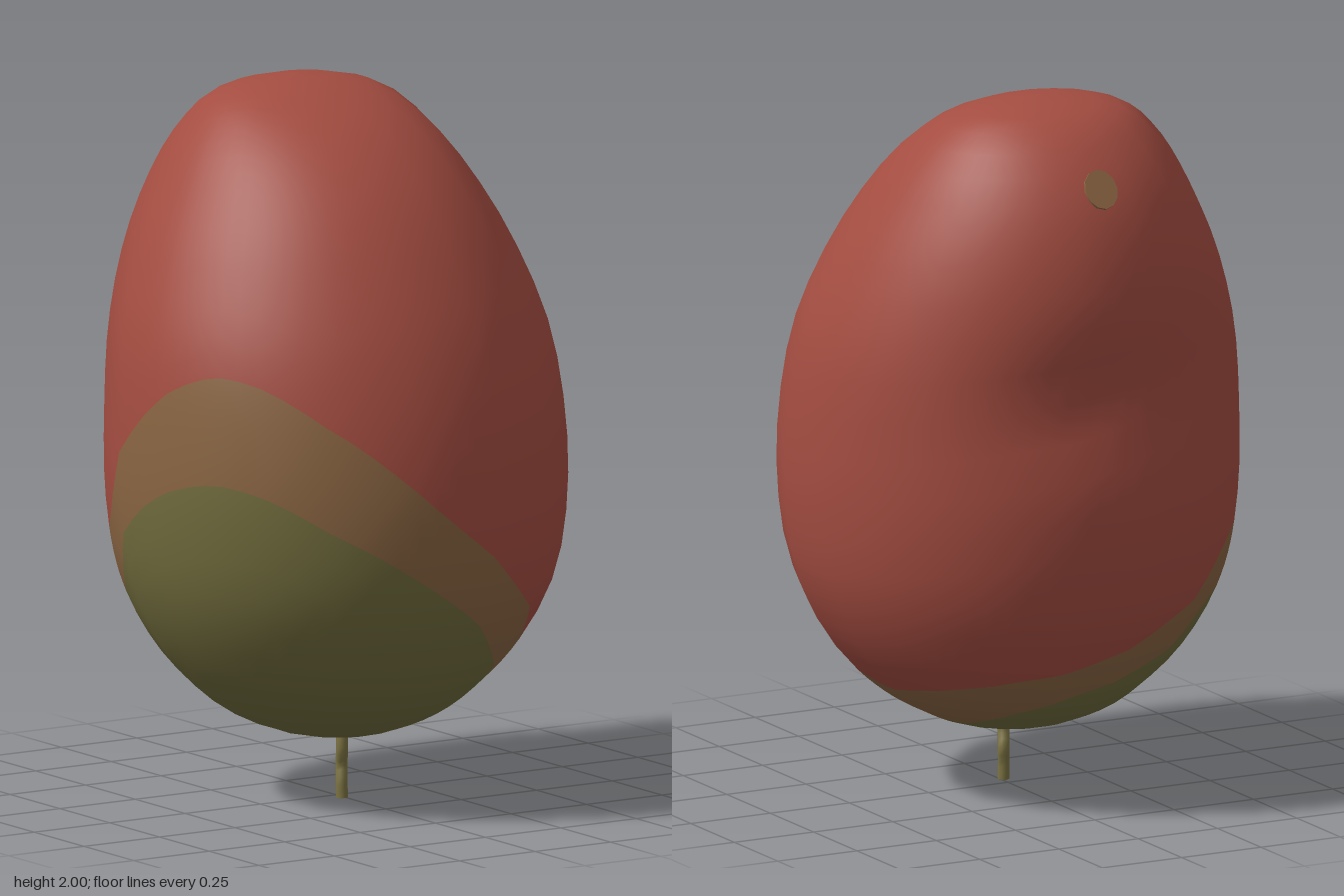
import * as THREE from 'three';

const SIDES = 16, SPLIT = 4, COLS = SIDES * SPLIT;
const BOTTOM = 0.17, HEIGHT = 1.83, STEP = (Math.PI * 2) / SIDES;

const mat = (name, color) => {
  const m = new THREE.MeshStandardMaterial({ color });
  m.name = name;
  return m;
};

// Body outline from base to crown: half width, front z, back z
const outline = new THREE.CatmullRomCurve3([
  [0, 0, 0], [0.19, 0.19, -0.2], [0.36, 0.36, -0.37], [0.5, 0.49, -0.49],
  [0.595, 0.585, -0.575], [0.632, 0.617, -0.612], [0.633, 0.6, -0.615],
  [0.607, 0.54, -0.615], [0.535, 0.44, -0.608], [0.44, 0.315, -0.565],
  [0.34, 0.16, -0.48], [0.22, -0.02, -0.365], [0, -0.19, -0.19],
].map(p => new THREE.Vector3(...p)), false, 'catmullrom', 0.5);

const heightToT = y => Math.acos(1 - 2 * (y - BOTTOM) / HEIGHT) / Math.PI;

// Smooth skin point; angle runs from the front (+z) towards +x
function skin(a, t) {
  const y = BOTTOM + HEIGHT * (1 - Math.cos(Math.PI * t)) / 2;
  const { x: w, y: front, z: back } = outline.getPoint(t);
  const k = 1 / Math.cos(STEP / 2);
  const dent = 0.04 * Math.exp(-(((y - 1.2) / 0.15) ** 2)) * Math.max(0, -Math.cos(a)) ** 6;
  return new THREE.Vector3(
    w * k * Math.sin(a), y,
    (front + back) / 2 + (front - back) / 2 * k * Math.cos(a) + dent);
}

function skinNormal(a, t) {
  const s = THREE.MathUtils.clamp(t, 0.015, 0.985), e = 0.01;
  const da = skin(a + e, s).sub(skin(a - e, s));
  const dt = skin(a, s + e).sub(skin(a, s - e));
  return da.cross(dt).normalize();
}

// Point on the sixteen-sided body, between two corner lines
function facetPoint(col, t) {
  const side = Math.floor(col / SPLIT), f = (col % SPLIT) / SPLIT;
  const a = (side + 0.5) * STEP;
  return skin(a, t).lerp(skin(a + STEP, t), f);
}

// Closed wavy border height around the body, one value every 30 degrees
function border(heights) {
  const curve = new THREE.CatmullRomCurve3(
    heights.map(h => new THREE.Vector3(0, h, 0)), true, 'catmullrom', 0.5);
  return a => heightToT(curve.getPoint((a / (Math.PI * 2)) % 1).y);
}

// Band of skin between two borders
function skinBand(lower, upper, rows) {
  const pos = [], nor = [], idx = [];
  for (let j = 0; j <= rows; j++) {
    for (let i = 0; i <= COLS; i++) {
      const a = (i / SPLIT + 0.5) * STEP;
      const t = THREE.MathUtils.lerp(lower(a), upper(a), j / rows);
      pos.push(...facetPoint(i, t).toArray());
      nor.push(...skinNormal(a, t).toArray());
      if (i < COLS && j < rows) {
        const p = j * (COLS + 1) + i, q = p + COLS + 1;
        idx.push(p, p + 1, q + 1, p, q + 1, q);
      }
    }
  }
  const g = new THREE.BufferGeometry();
  g.setAttribute('position', new THREE.Float32BufferAttribute(pos, 3));
  g.setAttribute('normal', new THREE.Float32BufferAttribute(nor, 3));
  g.setIndex(idx);
  return g;
}

export function createModel() {
  const model = new THREE.Group();
  model.name = 'fruit';
  const red = mat('ripe red', 0xa44d41);
  const brown = mat('blush brown', 0x8a6542);
  const olive = mat('olive green', 0x716c3d);
  const stemColor = mat('stem', 0x7d7343);

  const add = (name, geometry, material) => {
    const mesh = new THREE.Mesh(geometry, material);
    mesh.name = name;
    model.add(mesh);
    return mesh;
  };

  // Skin in three colour bands
  const base = () => 0, crown = () => 1;
  const oliveEdge = border([0.63, 0.42, 0.27, 0.23, 0.22, 0.27, 0.34, 0.42, 0.6, 0.88, 0.97, 0.83]);
  const brownEdge = border([0.85, 0.6, 0.42, 0.33, 0.35, 0.39, 0.44, 0.56, 0.79, 1.13, 1.27, 1.12]);
  add('oliveSkin', skinBand(base, oliveEdge, 12), olive);
  add('brownSkin', skinBand(oliveEdge, brownEdge, 6), brown);
  add('redSkin', skinBand(brownEdge, crown, 20), red);

  // Small blemish high on the back
  const spotT = heightToT(1.8);
  const n = skinNormal(Math.PI, spotT);
  const spot = add('spot', new THREE.CylinderGeometry(0.05, 0.05, 0.008, 12), brown);
  spot.position.copy(facetPoint(COLS / 2 - SPLIT / 2, spotT)).addScaledVector(n, 0.001);
  spot.quaternion.setFromUnitVectors(new THREE.Vector3(0, 1, 0), n);
  spot.scale.z = 1.15;

  // Crooked stem with a closed tip
  const path = new THREE.CatmullRomCurve3([
    [-0.01, 0, 0.045], [-0.01, 0.05, 0.043], [-0.005, 0.09, 0.035],
    [-0.013, 0.14, 0.05], [-0.01, 0.22, 0.045],
  ].map(p => new THREE.Vector3(...p)));
  add('stem', new THREE.TubeGeometry(path, 12, 0.017, 8), stemColor);
  const tip = add('stemTip', new THREE.CircleGeometry(0.017, 8).rotateX(Math.PI / 2), stemColor);
  tip.position.set(-0.01, 0, 0.045);

  return model;
}
